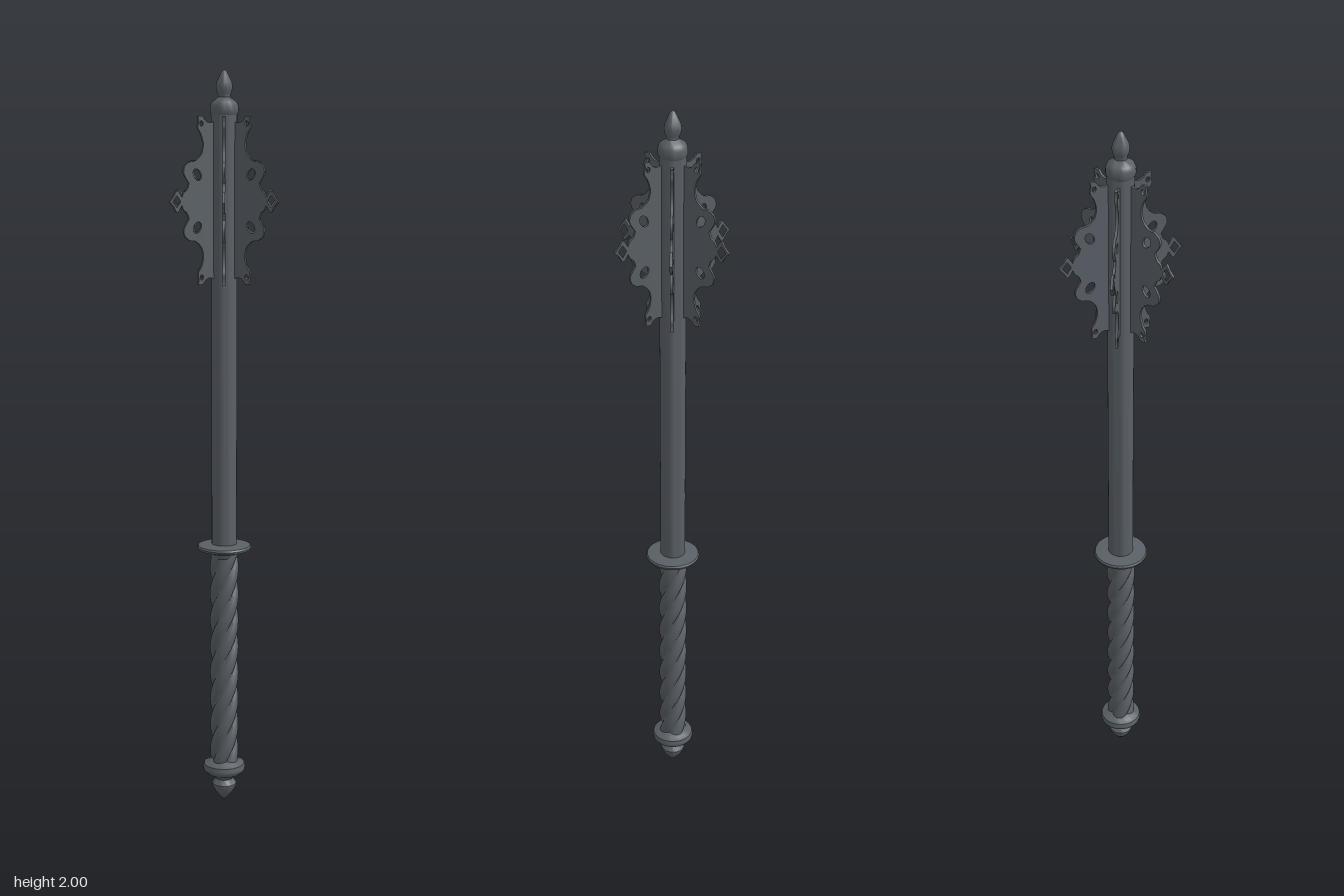
import * as THREE from 'three';
import { toCreasedNormals } from 'three/addons/utils/BufferGeometryUtils.js';

const steel = new THREE.MeshStandardMaterial({ color: 0x596066 });
steel.name = 'dark steel';

function addMesh(parent, name, geometry) {
  const mesh = new THREE.Mesh(geometry, steel);
  mesh.name = name;
  parent.add(mesh);
  return mesh;
}

// Turned part from [radius, height] pairs, bottom to top
function turned(profile) {
  const points = profile.map(([r, y]) => new THREE.Vector2(r, y));
  return toCreasedNormals(new THREE.LatheGeometry(points, 28), 0.7);
}

// Grip: lobed column twisted along its height
function twistedGrip(y0, y1, strands, turns) {
  const geo = new THREE.CylinderGeometry(1, 1, y1 - y0, 48, 90, true);
  const pos = geo.attributes.position;
  for (let i = 0; i < pos.count; i++) {
    const y = pos.getY(i);
    const t = y / (y1 - y0) + 0.5;
    const angle = Math.atan2(pos.getX(i), pos.getZ(i));
    const lobe = Math.abs(Math.cos((angle - t * turns * Math.PI * 2) * strands / 2));
    const r = 0.024 + 0.015 * Math.sqrt(lobe);
    pos.setXYZ(i, r * Math.sin(angle), y, r * Math.cos(angle));
  }
  geo.computeVertexNormals();
  geo.translate(0, (y0 + y1) / 2, 0);
  return geo;
}

// Flange: half outline in curved runs, mirrored about its middle
function flangeGeometry() {
  const runs = [
    [[0.026, 0.205], [0.045, 0.200], [0.058, 0.206], [0.066, 0.217], [0.080, 0.216]],
    [[0.080, 0.216], [0.077, 0.203], [0.080, 0.188], [0.072, 0.175]],
    [[0.072, 0.175], [0.064, 0.150], [0.068, 0.122], [0.086, 0.104], [0.102, 0.102]],
    [[0.102, 0.102], [0.117, 0.092], [0.122, 0.074], [0.114, 0.058], [0.106, 0.046]],
    [[0.106, 0.046], [0.112, 0.030], [0.122, 0.022], [0.127, 0.010]],
    [[0.127, 0.010], [0.138, 0.027], [0.144, 0.026]],
    [[0.144, 0.026], [0.152, 0.012], [0.163, 0]],
  ];
  const half = runs.flatMap((run) =>
    new THREE.SplineCurve(run.map(([x, y]) => new THREE.Vector2(x, y))).getPoints(8).slice(0, -1));
  const mirrored = half.map((p) => new THREE.Vector2(p.x, -p.y)).reverse();
  const shape = new THREE.Shape([...half, new THREE.Vector2(0.163, 0), ...mirrored]);

  // Pierced openings
  for (const s of [1, -1]) {
    for (const [x, y, rx, ry, tilt] of [
      [0.069, 0.198, 0.005, 0.007, 0],
      [0.082, 0.068, 0.011, 0.016, -0.5],
    ]) {
      const hole = new THREE.Path();
      hole.absellipse(x, y * s, rx, ry, 0, Math.PI * 2, false, tilt * s);
      shape.holes.push(hole);
    }
  }
  shape.holes.push(new THREE.Path([[0.131, 0], [0.142, 0.016], [0.154, 0], [0.142, -0.016]]
    .map(([x, y]) => new THREE.Vector2(x, y))));

  const depth = 0.007;
  const geo = new THREE.ExtrudeGeometry(shape, { depth, bevelEnabled: false, curveSegments: 10 });
  geo.translate(0, 0, -depth / 2);
  return toCreasedNormals(geo, 0.6);
}

export function createModel() {
  const model = new THREE.Group();
  model.name = 'flangedMace';

  addMesh(model, 'pommel', turned([
    [0, 0], [0.010, 0.008], [0.024, 0.026], [0.033, 0.042], [0.034, 0.050], [0.028, 0.058],
    [0.024, 0.064], [0.030, 0.072], [0.046, 0.080], [0.057, 0.090], [0.059, 0.100],
    [0.056, 0.109], [0.045, 0.113], [0.036, 0.120], [0, 0.120],
  ]));
  addMesh(model, 'grip', twistedGrip(0.115, 0.715, 4, 2));
  addMesh(model, 'guardDisc', turned([
    [0, 0.703], [0.036, 0.703], [0.040, 0.715], [0.055, 0.721], [0.072, 0.725],
    [0.074, 0.731], [0.071, 0.736], [0.036, 0.740], [0, 0.740],
  ]));
  addMesh(model, 'shaft', turned([[0.034, 0.735], [0.034, 1.895]]));

  // Six pierced flanges around the head
  const flanges = new THREE.Group();
  flanges.name = 'flanges';
  model.add(flanges);
  const flange = flangeGeometry();
  for (let i = 0; i < 6; i++) {
    const mesh = addMesh(flanges, 'flange' + (i + 1), flange);
    mesh.position.y = 1.665;
    mesh.rotation.y = -THREE.MathUtils.degToRad(22.3 + 60 * i);
  }

  addMesh(model, 'finial', turned([
    [0.034, 1.885], [0.037, 1.892], [0.037, 1.908], [0.033, 1.918], [0.022, 1.925],
    [0.016, 1.930], [0.016, 1.936], [0.020, 1.944], [0.022, 1.956], [0.020, 1.968],
    [0.012, 1.985], [0.006, 1.996], [0, 2.0],
  ]));
  return model;
}
